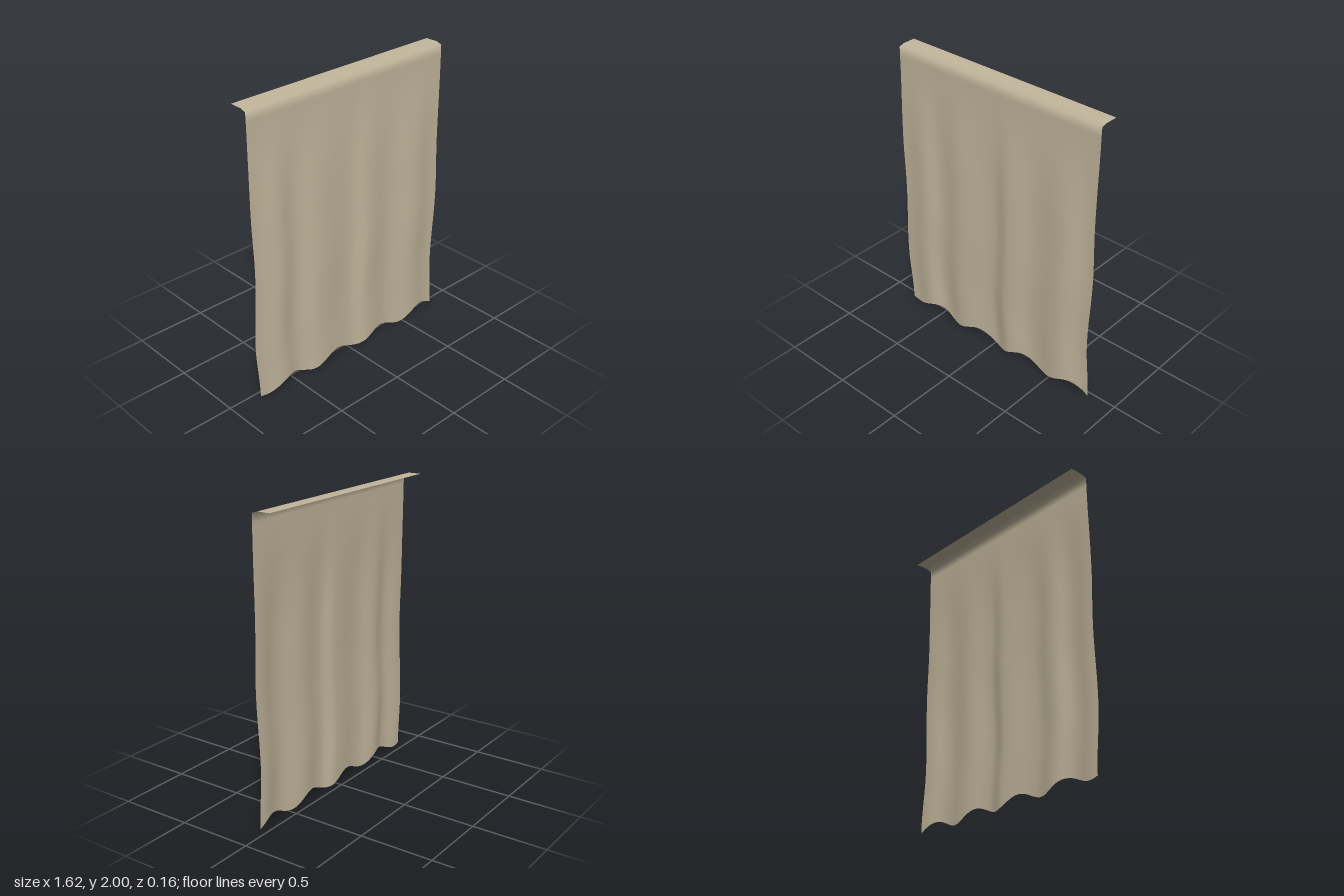
import * as THREE from 'three';

// Smooth interpolation through [position, value] knots, easing between neighbours
function ease(knots, t) {
  if (t <= knots[0][0]) return knots[0][1];
  for (let i = 1; i < knots.length; i++) {
    const [a, va] = knots[i - 1], [b, vb] = knots[i];
    if (t <= b) return va + (vb - va) * (1 - Math.cos(Math.PI * (t - a) / (b - a))) / 2;
  }
  return knots[knots.length - 1][1];
}

// Fold depth across the width: 0 in a valley, 1 on a ridge
const FOLDS = [[-0.8, 0.3], [-0.77, 0.3], [-0.61, 0.9], [-0.46, 0], [-0.28, 0.85], [0, 0],
  [0.14, 1], [0.35, 0.15], [0.57, 0.95], [0.77, 0], [0.8, 0]];
// Sideways sway, depth of the folds and lean of the valleys, by height
const SWAY = [[0, 0.01], [0.42, -0.015], [0.95, 0.005], [1.35, -0.005], [1.9, 0]];
const DEPTH = [[0, 0.028], [0.7, 0.026], [1.2, 0.022], [1.95, 0]];
const LEAN = [[0, -0.007], [0.9, 0.003], [1.5, 0.002], [1.95, 0]];

// Top strip, as [y, z] from the back edge of the flap down to the hanging cloth
const FLAP = [[2, -0.08], [2, 0.008], [1.988, 0.047], [1.93, 0.048]];

export function createModel() {
  const group = new THREE.Group();
  const cloth = new THREE.MeshStandardMaterial({ color: 0xc2b69c, side: THREE.DoubleSide });
  cloth.name = 'beige cloth';

  // One sheet: folded back at the top, rippled below, with a wavy hem
  const cols = 96, rows = 60;
  const geometry = new THREE.PlaneGeometry(1.6, 2, cols, rows);
  const pos = geometry.attributes.position;
  for (let i = 0; i < pos.count; i++) {
    const row = Math.floor(i / (cols + 1));
    const x = pos.getX(i);
    if (row < FLAP.length) {
      pos.setXYZ(i, x, ...FLAP[row]);
      continue;
    }
    const t = (row - FLAP.length + 1) / (rows - FLAP.length + 1);
    const h = 1.93 * (1 - t);
    const hem = 0.03 * (1 - Math.cos((x + 0.74) * Math.PI * 2 / 0.4));
    const z = 0.048 + ease(DEPTH, h) * ease(FOLDS, x) + ease(LEAN, h);
    pos.setXYZ(i, x + ease(SWAY, h), h + hem * t ** 4, z);
  }
  geometry.computeVertexNormals();

  const curtain = new THREE.Mesh(geometry, cloth);
  curtain.name = 'curtain';
  group.add(curtain);
  return group;
}
